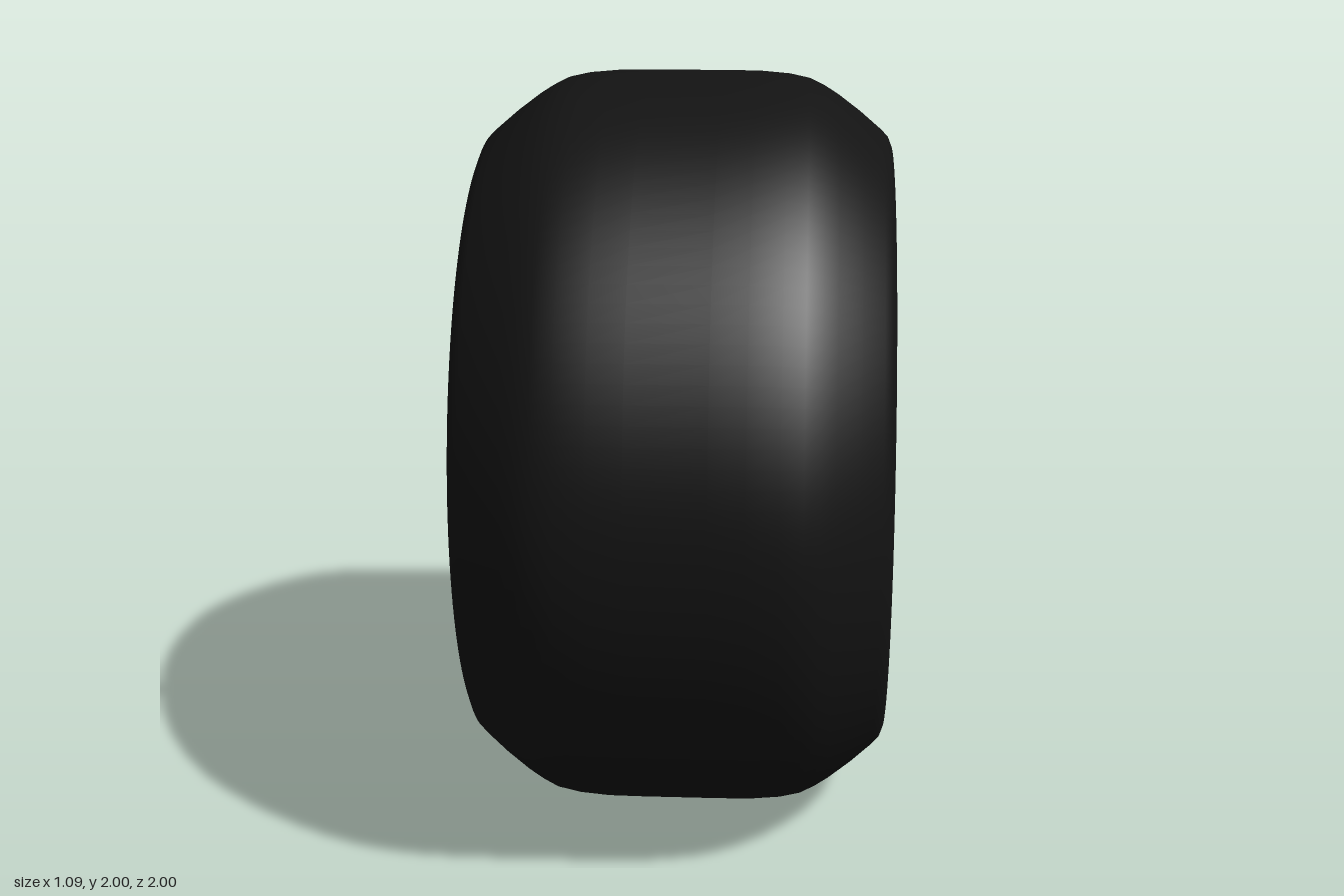
import * as THREE from 'three';
import { toCreasedNormals } from 'three/addons/utils/BufferGeometryUtils.js';

const SPOKES = 10;

const greyMaterial = new THREE.MeshStandardMaterial({ color: 0xcccccc });
const rubberMaterial = new THREE.MeshStandardMaterial({ color: 0x131313 });

// Turn a closed [x, radius] profile round the x axle (outer side first, x rising).
function turned(name, profile, material, segments = 96) {
  const points = [...profile, profile[0]].map(([x, r]) => new THREE.Vector2(r, x));
  const geometry = new THREE.LatheGeometry(points, segments).rotateZ(-Math.PI / 2);
  const mesh = new THREE.Mesh(toCreasedNormals(geometry, 0.6), material);
  mesh.name = name;
  return mesh;
}

// One tapering spoke along +y, from rows of [radius, half width, front x, back x].
function spokeGeometry() {
  const rows = [
    [0.17, 0.068, 0.055, -0.1],
    [0.205, 0.064, 0.063, -0.09],
    [0.225, 0.05, 0.07, -0.08],
    [0.25, 0.039, 0.08, -0.065],
    [0.29, 0.033, 0.095, -0.045],
    [0.36, 0.03, 0.12, -0.015],
    [0.48, 0.025, 0.16, 0.04],
    [0.607, 0.021, 0.2, 0.1],
  ];
  const bevel = 0.008;
  const positions = [];
  const index = [];
  const n = 8;
  for (const [r, w, f, b] of rows) {
    const c = bevel;
    const ring = [
      [f, w - c], [f, c - w], [f - c, -w], [b + c, -w],
      [b, c - w], [b, w - c], [b + c, w], [f - c, w],
    ];
    for (const [x, z] of ring) positions.push(x, r, z);
  }
  for (let i = 0; i < rows.length - 1; i++) {
    for (let j = 0; j < n; j++) {
      const a = i * n + j;
      const d = i * n + ((j + 1) % n);
      index.push(a, d, a + n, d, d + n, a + n);
    }
  }
  // End caps
  const last = (rows.length - 1) * n;
  for (let j = 1; j < n - 1; j++) {
    index.push(0, j + 1, j, last, last + j, last + j + 1);
  }
  const geometry = new THREE.BufferGeometry();
  geometry.setAttribute('position', new THREE.Float32BufferAttribute(positions, 3));
  geometry.setIndex(index);
  return toCreasedNormals(geometry, 0.6);
}

export function createModel() {
  const model = new THREE.Group();
  model.name = 'wheel';
  const wheel = new THREE.Group();
  wheel.name = 'wheelAssembly';
  wheel.position.y = 1;
  model.add(wheel);

  // Tyre: flat tread, sloping shoulders and flat sidewalls
  const shoulder = [
    [0.545, 0.69], [0.545, 0.8], [0.535, 0.826], [0.515, 0.846],
    [0.46, 0.893], [0.4, 0.938], [0.365, 0.96], [0.325, 0.98],
    [0.27, 0.992], [0.19, 0.999], [0.1, 1],
  ];
  const tyreProfile = [
    ...shoulder.map(([x, r]) => [-x, r]),
    ...[...shoulder].reverse(),
  ];
  wheel.add(turned('tyre', tyreProfile, rubberMaterial, 128));

  // Rim: deep dish on the +x side, bead by the spokes, narrower bore, recessed back lip
  wheel.add(turned('rim', [
    [-0.38, 0.695], [0.547, 0.695],
    [0.547, 0.64], [0.54, 0.63], [0.525, 0.622], [0.49, 0.617], [0.4, 0.613],
    [0.25, 0.608], [0.14, 0.604], [0.125, 0.6], [0.118, 0.59],
    [0.118, 0.58], [0.112, 0.568], [0.1, 0.558], [0.075, 0.546], [0.04, 0.535],
    [0, 0.53], [-0.2, 0.53], [-0.28, 0.533], [-0.33, 0.543], [-0.36, 0.56],
    [-0.375, 0.59], [-0.38, 0.62],
  ], greyMaterial));

  // Hub: hollow sleeve with a rounded front collar
  wheel.add(turned('hub', [
    [-0.24, 0.185], [-0.235, 0.195], [-0.225, 0.2], [0.045, 0.208],
    [0.062, 0.204], [0.076, 0.193], [0.084, 0.175], [0.082, 0.158],
    [0.075, 0.147], [0.06, 0.14], [0.045, 0.135], [-0.225, 0.135], [-0.24, 0.145],
  ], greyMaterial, 64));

  // Spokes
  const geometry = spokeGeometry();
  const spokes = new THREE.Group();
  spokes.name = 'spokes';
  for (let i = 0; i < SPOKES; i++) {
    const spoke = new THREE.Mesh(geometry, greyMaterial);
    spoke.name = `spoke${i + 1}`;
    spoke.rotation.x = THREE.MathUtils.degToRad(8) + (i * Math.PI * 2) / SPOKES;
    spokes.add(spoke);
  }
  wheel.add(spokes);

  return model;
}
